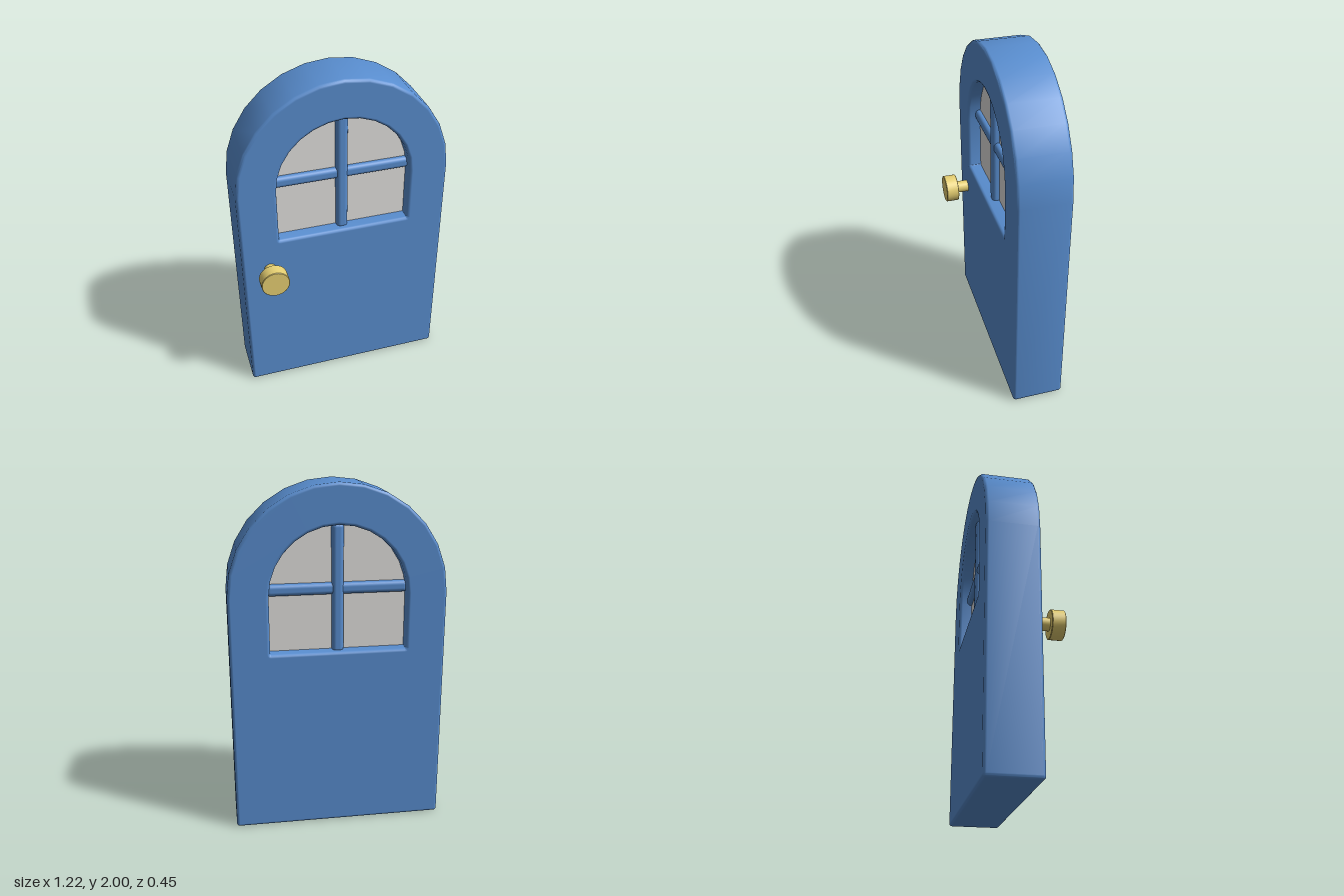
import * as THREE from 'three';
import { toCreasedNormals } from 'three/addons/utils/BufferGeometryUtils.js';
import { RoundedBoxGeometry } from 'three/addons/geometries/RoundedBoxGeometry.js';

const SPRING = 1.39;   // height where both arches begin
const MID_Z = -0.0735; // middle of the door's thickness
const DEPTH = 0.303;

// Outline with a round top and slightly softened bottom corners
function archOutline(path, r, bottom, corner) {
  path.moveTo(-r + corner, bottom);
  path.lineTo(r - corner, bottom);
  path.quadraticCurveTo(r, bottom, r, bottom + corner);
  path.lineTo(r, SPRING);
  path.absarc(0, SPRING, r, 0, Math.PI, false);
  path.lineTo(-r, bottom + corner);
  path.quadraticCurveTo(-r, bottom, -r + corner, bottom);
  return path;
}

// Smooth bevels that run into perfectly flat front and back faces
function smoothSlab(geometry) {
  const smooth = toCreasedNormals(geometry, 0.65);
  const { position, normal } = smooth.attributes;
  for (let i = 0; i < position.count; i++) {
    const z = position.getZ(i);
    if (Math.abs(z) > DEPTH / 2 - 0.0005) normal.setXYZ(i, 0, 0, Math.sign(z));
  }
  return smooth;
}

export function createModel() {
  const blue = new THREE.MeshStandardMaterial({ name: 'bluePaint', color: 0x598ed0 });
  const glass = new THREE.MeshStandardMaterial({ name: 'paleGlass', color: 0xe4e2e0 });
  const brass = new THREE.MeshStandardMaterial({ name: 'brass', color: 0xead374 });

  const model = new THREE.Group();
  model.name = 'archedDoor';
  const add = (name, geometry, material, x, y, z) => {
    const mesh = new THREE.Mesh(geometry, material);
    mesh.name = name;
    mesh.position.set(x, y, z);
    model.add(mesh);
    return mesh;
  };

  // Door slab with an arched window opening and rounded edges
  const bevel = 0.018;
  const slab = archOutline(new THREE.Shape(), 0.61, 0, 0.02);
  slab.holes.push(archOutline(new THREE.Path(), 0.385, 1.066, 0.008));
  const slabGeometry = new THREE.ExtrudeGeometry(slab, {
    depth: DEPTH - 2 * bevel, curveSegments: 7, bevelEnabled: true,
    bevelThickness: bevel, bevelSize: bevel, bevelOffset: -bevel, bevelSegments: 3,
  });
  slabGeometry.translate(0, 0, -(DEPTH - 2 * bevel) / 2);
  add('doorSlab', smoothSlab(slabGeometry), blue, 0, 0, MID_Z);

  // Window pane, set into the opening
  const paneDepth = 0.15;
  const paneShape = archOutline(new THREE.Shape(), 0.388, 1.062, 0.008);
  const paneGeometry = new THREE.ExtrudeGeometry(paneShape, {
    depth: paneDepth, curveSegments: 7, bevelEnabled: false,
  });
  paneGeometry.translate(0, 0, -paneDepth / 2);
  add('windowPane', paneGeometry, glass, 0, 0, MID_Z);

  // Crossed window bars, standing out on both sides of the pane
  add('verticalBar', new RoundedBoxGeometry(0.066, 0.73, 0.228, 4, 0.024), blue, 0, 1.415, MID_Z);
  add('horizontalBar', new RoundedBoxGeometry(0.79, 0.066, 0.21, 4, 0.024), blue, 0, 1.418, MID_Z);

  // Knob on a short stem, front side only
  const stem = new THREE.CylinderGeometry(0.036, 0.036, 0.1, 24);
  add('knobStem', stem, brass, -0.45, 0.88, 0.11).rotation.x = Math.PI / 2;
  const profile = [[0, 0], [0.079, 0], [0.082, 0.003], [0.082, 0.073], [0.079, 0.076], [0, 0.076]]
    .map(([r, h]) => new THREE.Vector2(r, h));
  const knob = toCreasedNormals(new THREE.LatheGeometry(profile, 32), 0.5);
  add('knob', knob, brass, -0.45, 0.88, 0.149).rotation.x = Math.PI / 2;

  return model;
}
